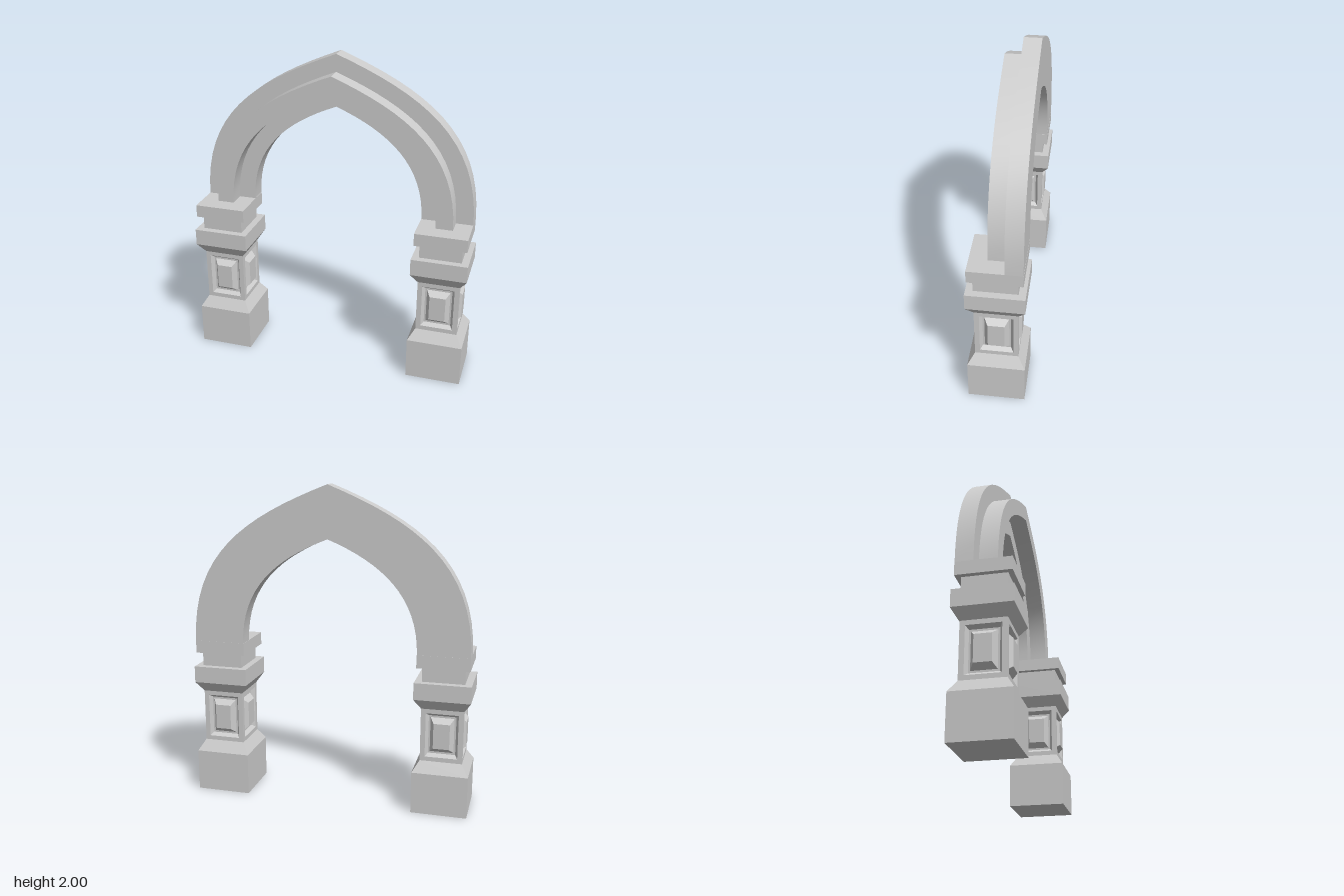
import * as THREE from 'three';
import { mergeGeometries, toCreasedNormals } from 'three/addons/utils/BufferGeometryUtils.js';

const stone = new THREE.MeshStandardMaterial({ color: 0xcccccc });
stone.name = 'stone';

function flat(geometry) {
  const g = geometry.index ? geometry.toNonIndexed() : geometry;
  g.deleteAttribute('uv');
  g.computeVertexNormals();
  return g;
}

// Square block turned from a [halfWidth, y] profile
function squareTurned(profile) {
  const points = profile.map(([w, y]) => new THREE.Vector2(w * Math.SQRT2, y));
  return flat(new THREE.LatheGeometry(points, 4).rotateY(Math.PI / 4));
}

// One shaft face: nested rectangles [halfWidth, halfHeight, depth], closed by the last one
function panelFace(rings) {
  const pos = [], index = [];
  for (const [w, h, d] of rings) pos.push(-w, -h, d, w, -h, d, w, h, d, -w, h, d);
  for (let r = 0; r < rings.length - 1; r++) {
    for (let i = 0; i < 4; i++) {
      const a = r * 4 + i, b = r * 4 + (i + 1) % 4;
      index.push(a, b, b + 4, a, b + 4, a + 4);
    }
  }
  const c = (rings.length - 1) * 4;
  index.push(c, c + 1, c + 2, c, c + 2, c + 3);
  const g = new THREE.BufferGeometry();
  g.setAttribute('position', new THREE.Float32BufferAttribute(pos, 3));
  g.setIndex(index);
  return flat(g);
}

// Half of a pointed arch curve, from springing point to apex
function archCurve(a) {
  const base = 1.01, apex = 1.13 + a, q = 0.6 * a;
  return new THREE.CubicBezierCurve(
    new THREE.Vector2(a, base), new THREE.Vector2(a, base + 0.645 * a),
    new THREE.Vector2(q, apex - 0.39 * q), new THREE.Vector2(0, apex)
  ).getPoints(16);
}

// Band between two pointed curves, extruded from z0 to z1
function archBand(outer, inner, z0, z1) {
  const full = (a) => {
    const half = archCurve(a);
    const mirrored = half.slice(0, -1).reverse().map((p) => new THREE.Vector2(-p.x, p.y));
    return [...half, ...mirrored];
  };
  const shape = new THREE.Shape([...full(outer), ...full(inner).reverse()]);
  const g = new THREE.ExtrudeGeometry(shape, { depth: z1 - z0, bevelEnabled: false });
  return toCreasedNormals(g.translate(0, 0, z0), 0.5);
}

export function createModel() {
  const model = new THREE.Group();
  model.name = 'pointedArch';
  const add = (parent, name, geometry) => {
    const mesh = new THREE.Mesh(geometry, stone);
    mesh.name = name;
    parent.add(mesh);
    return mesh;
  };

  // Arch: wide back band with a narrower rib in front
  add(model, 'archBand', archBand(0.87, 0.55, -0.16, -0.055));
  add(model, 'archRib', archBand(0.763, 0.657, -0.055, 0.053));

  // Pier parts
  const base = squareTurned([[0, 0], [0.173, 0], [0.173, 0.265], [0.13, 0.335]]);
  const capital = squareTurned([
    [0.13, 0.67], [0.173, 0.735], [0.173, 0.84], [0.13, 0.84],
    [0.13, 0.93], [0.161, 0.93], [0.161, 1.01], [0, 1.01],
  ]);
  const face = panelFace([
    [0.13, 0.1675, 0.13], [0.1, 0.14, 0.13], [0.084, 0.122, 0.105],
    [0.073, 0.11, 0.105], [0.05, 0.08, 0.141],
  ]);
  const shaft = mergeGeometries(
    [0, 1, 2, 3].map((i) => face.clone().rotateY(i * Math.PI / 2).translate(0, 0.5025, 0))
  );

  for (const [side, name] of [[1, 'leftPier'], [-1, 'rightPier']]) {
    const pier = new THREE.Group();
    pier.name = name;
    add(pier, 'base', base);
    add(pier, 'panelledShaft', shaft);
    add(pier, 'capital', capital);
    pier.position.x = side * 0.709;
    model.add(pier);
  }
  return model;
}
